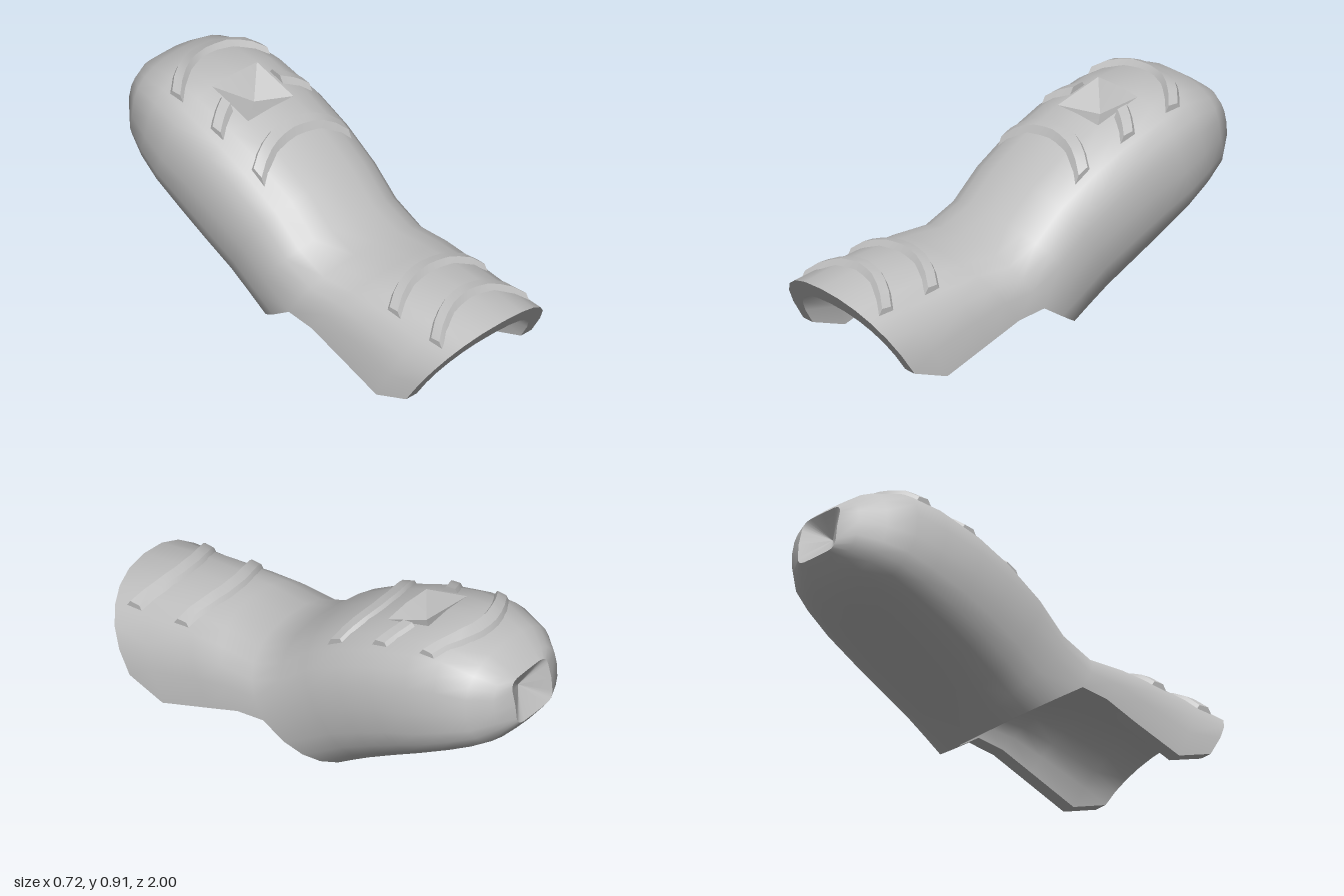
import * as THREE from 'three';
import { mergeGeometries, toCreasedNormals } from 'three/addons/utils/BufferGeometryUtils.js';

// Cross-section stations: crown [z, y], mid-side [z, y], underside [z, y],
// half width, and roundness p (1 = ellipse, smaller = squarer)
const ARCH = [
  { top: [1, 0.42], mid: [0.8, 0.11], w: 0.353, p: 0.88 },
  { top: [0.83, 0.45], mid: [0.63, 0.05], w: 0.355, p: 0.86 },
  { top: [0.6, 0.465], mid: [0.4, 0.13], w: 0.35, p: 0.84 },
  { top: [0.45, 0.46], mid: [0.25, 0.185], w: 0.35, p: 0.82 },
];
const TIP = [
  { top: [0.27, 0.445], mid: [0.12, 0.2], bot: [-0.18, 0], w: 0.35, p: 0.8 },
  { top: [0.13, 0.5], mid: [-0.03, 0.29], bot: [-0.24, 0.04], w: 0.348, p: 0.8 },
  { top: [0, 0.625], mid: [-0.15, 0.38], bot: [-0.32, 0.09], w: 0.352, p: 0.8 },
  { top: [-0.18, 0.735], mid: [-0.3, 0.46], bot: [-0.45, 0.17], w: 0.358, p: 0.78 },
  { top: [-0.34, 0.805], mid: [-0.45, 0.53], bot: [-0.58, 0.245], w: 0.356, p: 0.76 },
  { top: [-0.55, 0.87], mid: [-0.62, 0.58], bot: [-0.73, 0.335], w: 0.345, p: 0.75 },
  { top: [-0.7, 0.89], mid: [-0.74, 0.62], bot: [-0.83, 0.395], w: 0.322, p: 0.75 },
  { top: [-0.85, 0.85], mid: [-0.86, 0.64], bot: [-0.91, 0.45], w: 0.278, p: 0.75 },
  { top: [-0.93, 0.795], mid: [-0.95, 0.66], bot: [-0.965, 0.51], w: 0.205, p: 0.7 },
  { top: [-0.965, 0.765], mid: [-0.99, 0.66], bot: [-1, 0.56], w: 0.118, p: 0.35 },
];
const STEP = Math.PI / 12;
const pow = (v, p) => Math.sign(v) * Math.abs(v) ** p;

// One row of points round a station, from angle -n to +n steps (0 = crown)
function section({ top, mid, bot, w, p }, n, inset = 0) {
  const row = [];
  for (let j = -n; j <= n; j++) {
    const c = pow(Math.cos(j * STEP), p);
    const end = c >= 0 || !bot ? top : bot;
    const dz = end[0] - mid[0], dy = end[1] - mid[1];
    const k = Math.abs(c) * (1 - (1.6 * inset) / Math.hypot(dz, dy));
    row.push(new THREE.Vector3((w - inset) * pow(Math.sin(j * STEP), p), mid[1] + dy * k, mid[0] + dz * k));
  }
  return row;
}

// Skin between rows of points; flip turns the faces round, skip leaves a gap
function loft(rows, flip = false, skip = () => false) {
  const pos = [];
  const tri = (a, b, c) => (flip ? [a, c, b] : [a, b, c]).forEach((p) => pos.push(p.x, p.y, p.z));
  for (let i = 0; i < rows.length - 1; i++) {
    for (let j = 0; j < rows[i].length - 1; j++) {
      if (skip(i, j)) continue;
      const a = rows[i][j], b = rows[i][j + 1], c = rows[i + 1][j], d = rows[i + 1][j + 1];
      tri(a, b, c);
      tri(b, d, c);
    }
  }
  const g = new THREE.BufferGeometry();
  g.setAttribute('position', new THREE.Float32BufferAttribute(pos, 3));
  return g;
}

const fan = (row, apex, flip) => loft([row, row.map(() => apex)], flip);

export function createModel() {
  const group = new THREE.Group();
  const grey = new THREE.MeshStandardMaterial({ color: 0xbfbfbf });
  grey.name = 'light grey';

  const add = (name, parts, crease = 0.6) => {
    const mesh = new THREE.Mesh(toCreasedNormals(mergeGeometries(parts), crease), grey);
    mesh.name = name;
    group.add(mesh);
    return mesh;
  };

  // Outer skin: open arch over the base, closed sleeve over the tip
  const archStations = [...ARCH, TIP[0]];
  const archOut = archStations.map((s) => section(s, 6));
  const tipOut = TIP.map((s) => section(s, 12));
  const knuckleGap = (i, j) => i === 4 && (j === 11 || j === 12);
  const outer = add('outerShell', [loft(archOut), loft(tipOut, false, knuckleGap)]);

  // Hollow inside
  const archIn = archStations.map((s) => section(s, 6, 0.06));
  const tipIn = TIP.slice(0, 8).map((s) => section(s, 12, 0.06));
  add('innerLining', [
    loft(archIn, true),
    loft(tipIn, true),
    fan(tipIn[7], new THREE.Vector3(0, 0.65, -0.88), true),
  ]);

  // Rims: front arch, lower side edges, underside of the sleeve mouth
  const edge = (rows, j) => rows.map((r) => r[j]);
  add('rims', [
    loft([archIn[0], archOut[0]]),
    loft([edge(archOut, 12), edge(archIn, 12)], true),
    loft([edge(archOut, 0), edge(archIn, 0)]),
    loft([tipIn[0].slice(0, 7), tipOut[0].slice(0, 7)]),
    loft([tipIn[0].slice(18), tipOut[0].slice(18)]),
  ], 0.4);

  // Pyramid-shaped dents on the knuckle and at the very end
  const [a, b] = [tipOut[4], tipOut[5]].map((r) => r.slice(11, 14));
  const border = [a[0], a[1], a[2], b[2], b[1], b[0], a[0]];
  add('knuckleDent', [fan(border, new THREE.Vector3(0.01, 0.775, -0.45))], 0.3);
  add('endDent', [fan(tipOut[9], new THREE.Vector3(0, 0.66, -0.91))], 0.3);

  // Height of the outer skin, for laying the skin folds on it
  outer.updateMatrixWorld();
  const ray = new THREE.Raycaster();
  const down = new THREE.Vector3(0, -1, 0);
  const heightAt = (x, z) => {
    ray.set(new THREE.Vector3(x, 2, z), down);
    return ray.intersectObject(outer)[0].point.y;
  };

  // A raised curved fold from x0 to x1, bowing from zMid forward to zEnd at the sides
  function fold(name, zMid, zEnd, x0 = -0.245, x1 = 0.245, n = 10) {
    const rows = [];
    for (let i = 0; i <= n; i++) {
      const x = x0 + ((x1 - x0) * i) / n;
      const z = zMid + (zEnd - zMid) * (x / 0.245) ** 2;
      rows.push([[-0.045, -0.012], [-0.026, 0.02], [0.02, 0.026], [0.045, -0.012]].map(
        ([dz, dy]) => new THREE.Vector3(x, heightAt(x, z + dz) + dy, z + dz)));
    }
    const cap = (r, flip) => loft([[r[0], r[3]], [r[1], r[2]]], flip);
    add(name, [loft(rows), cap(rows[0], false), cap(rows[n], true)], 0.5);
  }
  fold('frontFold', 0.78, 0.86);
  fold('baseFold', 0.55, 0.62);
  fold('lowerTipFold', -0.23, -0.165);
  fold('upperTipFold', -0.74, -0.635);
  fold('leftKnuckleFold', -0.48, -0.4, 0.14, 0.25, 4);
  fold('rightKnuckleFold', -0.48, -0.4, -0.25, -0.14, 4);

  return group;
}
